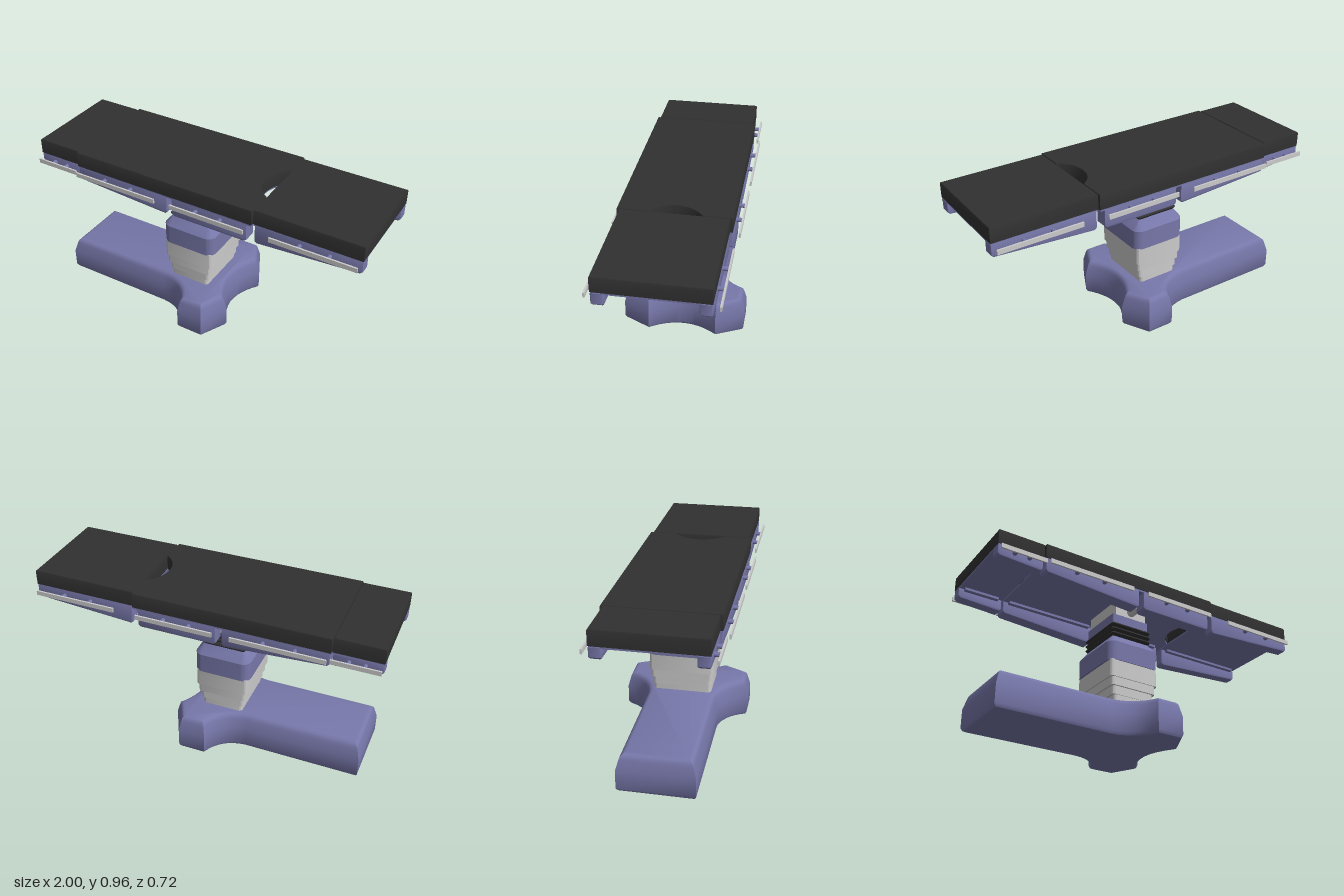
import * as THREE from 'three';
import { toCreasedNormals } from 'three/addons/utils/BufferGeometryUtils.js';

const blue = new THREE.MeshStandardMaterial({ color: 0x7777aa });
const black = new THREE.MeshStandardMaterial({ color: 0x303030 });
const grey = new THREE.MeshStandardMaterial({ color: 0xcccccc });

// Stacks inset copies of a counter-clockwise plan outline; layers are [y, inset]
function loft(shape, layers, divisions = 6) {
  const pts = shape.getPoints(divisions).filter((p, i, a) => i === 0 || p.distanceTo(a[i - 1]) > 1e-5);
  if (pts[0].distanceTo(pts[pts.length - 1]) < 1e-5) pts.pop();
  const n = pts.length;
  const normal = (a, b) => new THREE.Vector2(b.y - a.y, a.x - b.x).normalize();
  const miters = pts.map((p, i) => {
    const n1 = normal(pts[(i + n - 1) % n], p), n2 = normal(p, pts[(i + 1) % n]);
    return n1.clone().add(n2).divideScalar(1 + n1.dot(n2));
  });
  const pos = [], idx = [];
  for (const [y, inset] of layers)
    pts.forEach((p, i) => pos.push(p.x - miters[i].x * inset, y, -(p.y - miters[i].y * inset)));
  for (let k = 0; k < layers.length - 1; k++)
    for (let i = 0; i < n; i++) {
      const j = (i + 1) % n, a = k * n + i, b = k * n + j;
      idx.push(a, b, b + n, a, b + n, a + n);
    }
  const top = (layers.length - 1) * n;
  for (const [a, b, c] of THREE.ShapeUtils.triangulateShape(pts, []))
    idx.push(top + a, top + b, top + c, a, c, b);
  const g = new THREE.BufferGeometry();
  g.setAttribute('position', new THREE.Float32BufferAttribute(pos, 3));
  g.setIndex(idx);
  return toCreasedNormals(g, 0.5);
}

// Rounded rectangle in plan
function roundRect(cx, hx, hz, r) {
  const s = new THREE.Shape(), q = Math.PI / 2;
  s.absarc(cx + hx - r, hz - r, r, 0, q);
  s.absarc(cx - hx + r, hz - r, r, q, 2 * q);
  s.absarc(cx - hx + r, -hz + r, r, 2 * q, 3 * q);
  s.absarc(cx + hx - r, -hz + r, r, 3 * q, 4 * q);
  return s;
}

function rect(x0, x1, hz) {
  return new THREE.Shape().moveTo(x0, -hz).lineTo(x1, -hz).lineTo(x1, hz).lineTo(x0, hz);
}

export function createModel() {
  const model = new THREE.Group();
  const add = (name, geometry, material, x = 0, y = 0, z = 0) => {
    const m = new THREE.Mesh(geometry, material);
    m.name = name;
    m.position.set(x, y, z);
    model.add(m);
    return m;
  };

  // Base: long arm with two flared feet
  const foot = new THREE.Shape().moveTo(-0.92, -0.21).lineTo(-0.25, -0.21);
  foot.quadraticCurveTo(-0.1, -0.22, -0.05, -0.36).lineTo(0.11, -0.36).lineTo(0.19, -0.2);
  foot.quadraticCurveTo(0.04, 0, 0.19, 0.2).lineTo(0.11, 0.36).lineTo(-0.05, 0.36);
  foot.quadraticCurveTo(-0.1, 0.22, -0.25, 0.21).lineTo(-0.92, 0.21);
  add('base', loft(foot, [[0, 0.025], [0.008, 0.009], [0.025, 0], [0.13, 0], [0.19, 0.016],
    [0.207, 0.022], [0.217, 0.032], [0.222, 0.045]], 12), blue);

  // Telescopic column sleeves: [bottom, top, half x, half z]
  const cx = -0.083;
  [[0.21, 0.262, 0.12, 0.166], [0.26, 0.312, 0.132, 0.169], [0.31, 0.362, 0.144, 0.178], [0.36, 0.465, 0.154, 0.183]]
    .forEach(([y0, y1, hx, hz]) => add('columnSleeve', loft(roundRect(cx, hx, hz, 0.02), [[y0, 0], [y1, 0]]), grey));
  add('columnCollar', loft(roundRect(cx, 0.165, 0.187, 0.05),
    [[0.46, 0], [0.575, 0], [0.63, 0.044]]), blue);

  // Bellows
  const folds = [];
  for (let i = 0; i < 3; i++) folds.push([0.63 + i * 0.03, 0.013], [0.645 + i * 0.03, 0]);
  folds.push([0.72, 0.013]);
  add('bellows', loft(roundRect(cx, 0.133, 0.156, 0.02), folds), black);

  // Column head, tilt block and cross shaft
  add('columnHead', loft(roundRect(cx, 0.12, 0.143, 0.012), [[0.715, 0], [0.775, 0]]), blue);
  add('tiltBlock', new THREE.BoxGeometry(0.2, 0.095, 0.286), grey, cx, 0.82, 0);
  add('crossShaft', new THREE.CylinderGeometry(0.026, 0.026, 0.47, 24).rotateX(Math.PI / 2), grey, cx, 0.81, 0);

  // Table top sections; the middle one has an arc cut into its end
  const seat = new THREE.Shape().moveTo(-0.728, -0.305).lineTo(0.39, -0.305).lineTo(0.39, -0.145);
  seat.absarc(0.481, 0, 0.171, Math.PI + 1.01, Math.PI - 1.01, true);
  seat.lineTo(0.39, 0.305).lineTo(-0.728, 0.305);
  const sections = { leg: rect(-1, -0.73, 0.29), seat, head: rect(0.392, 1, 0.29) };
  for (const [name, shape] of Object.entries(sections)) {
    add(name + 'Cushion', loft(shape, [[0.875, 0], [0.955, 0], [0.961, 0.003]], 20), black);
    add(name + 'Plate', loft(shape, [[0.864, 0.003], [0.875, 0.003]], 20), blue);
  }

  // Side brackets with accessory rails:
  // x range, bottom y at each end, outer z, rail x range, post positions
  const sides = [
    { x: [-1, -0.735], y: [0.805, 0.793], z: 0.29, rail: [-0.995, -0.73], posts: [-0.905, -0.82] },
    { x: [-0.725, -0.13], y: [0.79, 0.757], z: 0.304, rail: [-0.715, -0.19], posts: [-0.54, -0.365] },
    { x: [-0.1, 0.362], y: [0.757, 0.757], z: 0.304, rail: [-0.09, 0.358], posts: [0.055, 0.205] },
    { x: [0.4, 1], y: [0.757, 0.795], z: 0.29, rail: [0.5, 0.985], posts: [0.66, 0.825] },
  ];
  const bevel = 0.008, inner = 0.225;
  for (const { x, y, z, rail, posts } of sides) {
    const [x0, x1] = [x[0] + bevel, x[1] - bevel], [y0, y1] = [y[0] + bevel, y[1] + bevel];
    const s = new THREE.Shape().moveTo(x0, 0.862).lineTo(x0, y0 + 0.008).lineTo(x0 + 0.008, y0);
    s.lineTo(x1 - 0.008, y1).lineTo(x1, y1 + 0.008).lineTo(x1, 0.862);
    const depth = z - inner - 2 * bevel;
    const bracket = toCreasedNormals(new THREE.ExtrudeGeometry(s, {
      depth, bevelThickness: bevel, bevelSize: bevel, bevelSegments: 2,
    }).translate(0, 0, -depth / 2), 0.6);
    const railZ = z + 0.034, mid = (x[0] + x[1]) / 2;
    for (const side of [1, -1]) {
      add('sideBracket', bracket, blue, 0, 0, side * (z + inner) / 2);
      add('bracketLedge', new THREE.BoxGeometry(x[1] - x[0] - 0.06, 0.018, 0.04), blue, mid, 0.858, side * 0.22);
      add('sideRail', new THREE.BoxGeometry(rail[1] - rail[0], 0.026, 0.01), grey,
        (rail[0] + rail[1]) / 2, 0.84, side * railZ);
      for (const px of posts)
        add('railPost', new THREE.CylinderGeometry(0.012, 0.012, 0.04, 12).rotateX(Math.PI / 2), blue,
          px, 0.84, side * (z + 0.012));
    }
  }
  return model;
}
